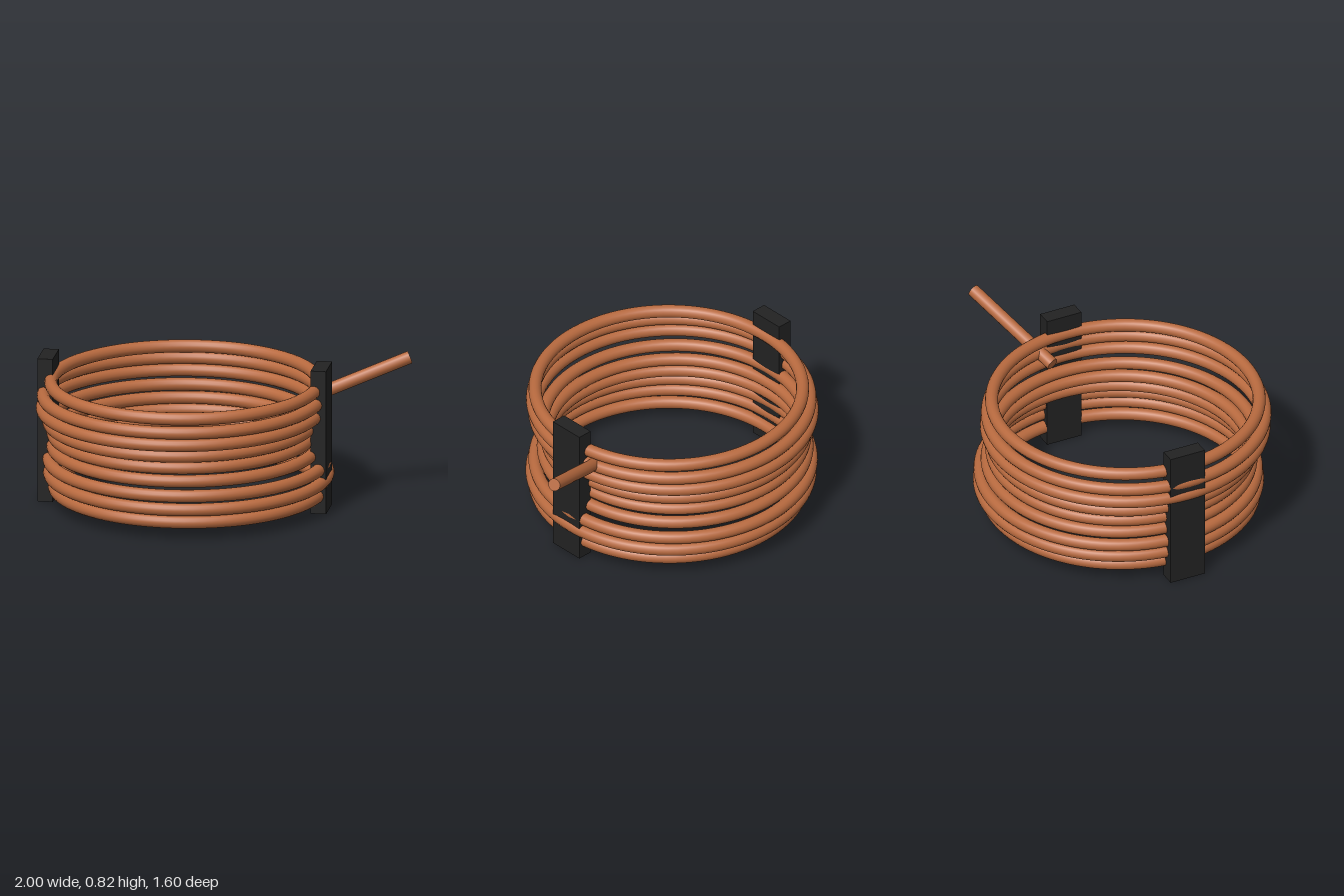
import * as THREE from 'three';

const TUBE = 0.035;

// Each loop: centre x, centre z, outer radius (bottom to top)
const LOOPS = [
  [-0.174, -0.003, 0.762],
  [-0.177, -0.015, 0.787],
  [-0.186, -0.021, 0.782],
  [-0.200, -0.023, 0.748],
  [-0.211, -0.016, 0.734],
  [-0.218, -0.003, 0.750],
  [-0.215, 0.007, 0.785],
  [-0.208, 0.016, 0.785],
  [-0.193, 0.019, 0.758],
];

export function createModel() {
  const model = new THREE.Group();
  model.name = 'wireCoil';
  const copper = new THREE.MeshStandardMaterial({ color: 0xb86a3f });
  copper.name = 'copper';
  const black = new THREE.MeshStandardMaterial({ color: 0x222222 });
  black.name = 'black';

  const add = (name, geometry, material, x, y, z) => {
    const mesh = new THREE.Mesh(geometry, material);
    mesh.name = name;
    mesh.position.set(x, y, z);
    model.add(mesh);
    return mesh;
  };

  // Stacked loops, each slightly shifted and resized
  LOOPS.forEach(([x, z, outer], i) => {
    const ring = new THREE.TorusGeometry(outer - TUBE, TUBE, 16, 96);
    ring.rotateX(Math.PI / 2);
    add(`coilLoop${i + 1}`, ring, copper, x, 0.097 + i * 0.0729, z);
  });

  // Straight loose end, rising outward and to the back
  const start = new THREE.Vector3(0.43, 0.574, -0.111);
  const end = new THREE.Vector3(0.984, 0.784, -0.313);
  const along = end.clone().sub(start);
  const middle = start.clone().add(end).multiplyScalar(0.5);
  const tail = add('looseEnd', new THREE.CylinderGeometry(TUBE, TUBE, along.length(), 16),
    copper, middle.x, middle.y, middle.z);
  tail.quaternion.setFromUnitVectors(new THREE.Vector3(0, 1, 0), along.normalize());

  // Upright retaining bars on both sides
  for (const [name, side] of [['leftBar', 1], ['rightBar', -1]]) {
    add(name, new THREE.BoxGeometry(0.084, 0.8, 0.206), black, -0.196 + side * 0.748, 0.4, 0);
  }

  return model;
}
